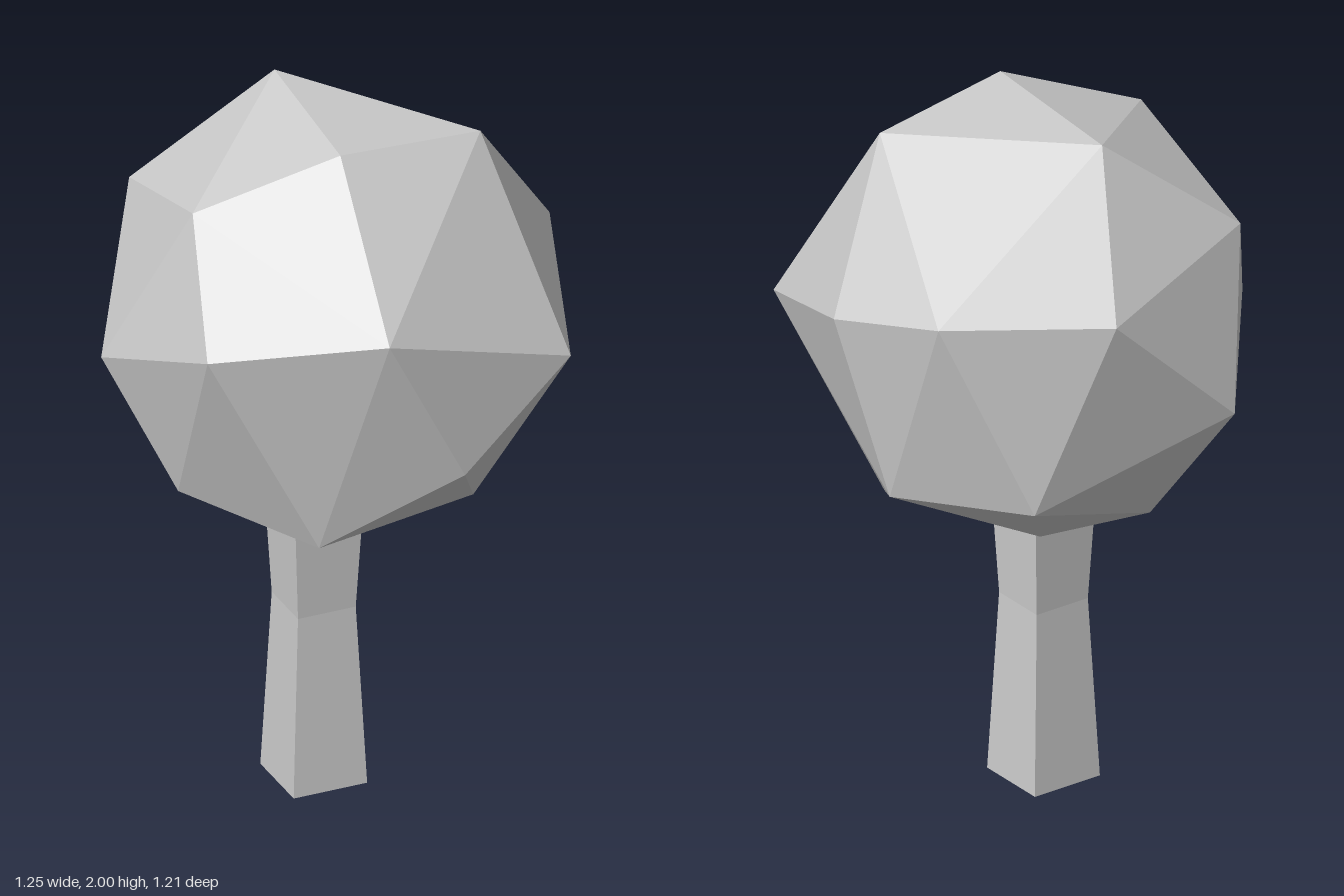
import * as THREE from 'three';
import { ConvexGeometry } from 'three/addons/geometries/ConvexGeometry.js';

export function createModel() {
  const tree = new THREE.Group();
  tree.name = 'tree';
  const material = new THREE.MeshStandardMaterial({ color: 0xcccccc, flatShading: true });

  // Square trunk, pinched at mid height: [half width, height]
  const profile = [[0, 0], [0.108, 0], [0.085, 0.53], [0.102, 0.88], [0, 0.88]]
    .map(([half, y]) => new THREE.Vector2(half * Math.SQRT2, y));
  const trunk = new THREE.Mesh(new THREE.LatheGeometry(profile, 4, Math.PI / 4), material);
  trunk.name = 'trunk';
  trunk.position.set(-0.063, 0, -0.012);
  tree.add(trunk);

  // Irregular faceted crown, wrapped around its corner points
  const corners = [
    // top
    [-0.09, 2.0, 0.22], [0.34, 1.96, 0.18], [-0.05, 2.0, -0.295], [-0.47, 1.85, 0.1],
    // upper ring
    [-0.12, 1.61, 0.605], [-0.54, 1.53, 0.35], [-0.425, 1.7, -0.41], [0.13, 1.63, -0.605],
    [0.535, 1.64, -0.35], [0.625, 1.56, 0], [0.465, 1.4, 0.49],
    // lower ring
    [-0.63, 1.33, -0.14], [-0.27, 1.25, -0.595], [0.31, 1.07, -0.48], [0.52, 1.04, -0.11],
    [0.12, 1.15, 0.565], [-0.49, 0.985, 0.05],
    // underside
    [-0.23, 0.92, 0.39], [0.31, 0.87, 0.2], [-0.15, 0.9, -0.375], [0.02, 0.77, -0.11],
  ];
  const crown = new THREE.Mesh(
    new ConvexGeometry(corners.map((p) => new THREE.Vector3(...p))), material);
  crown.name = 'crown';
  tree.add(crown);

  return tree;
}
